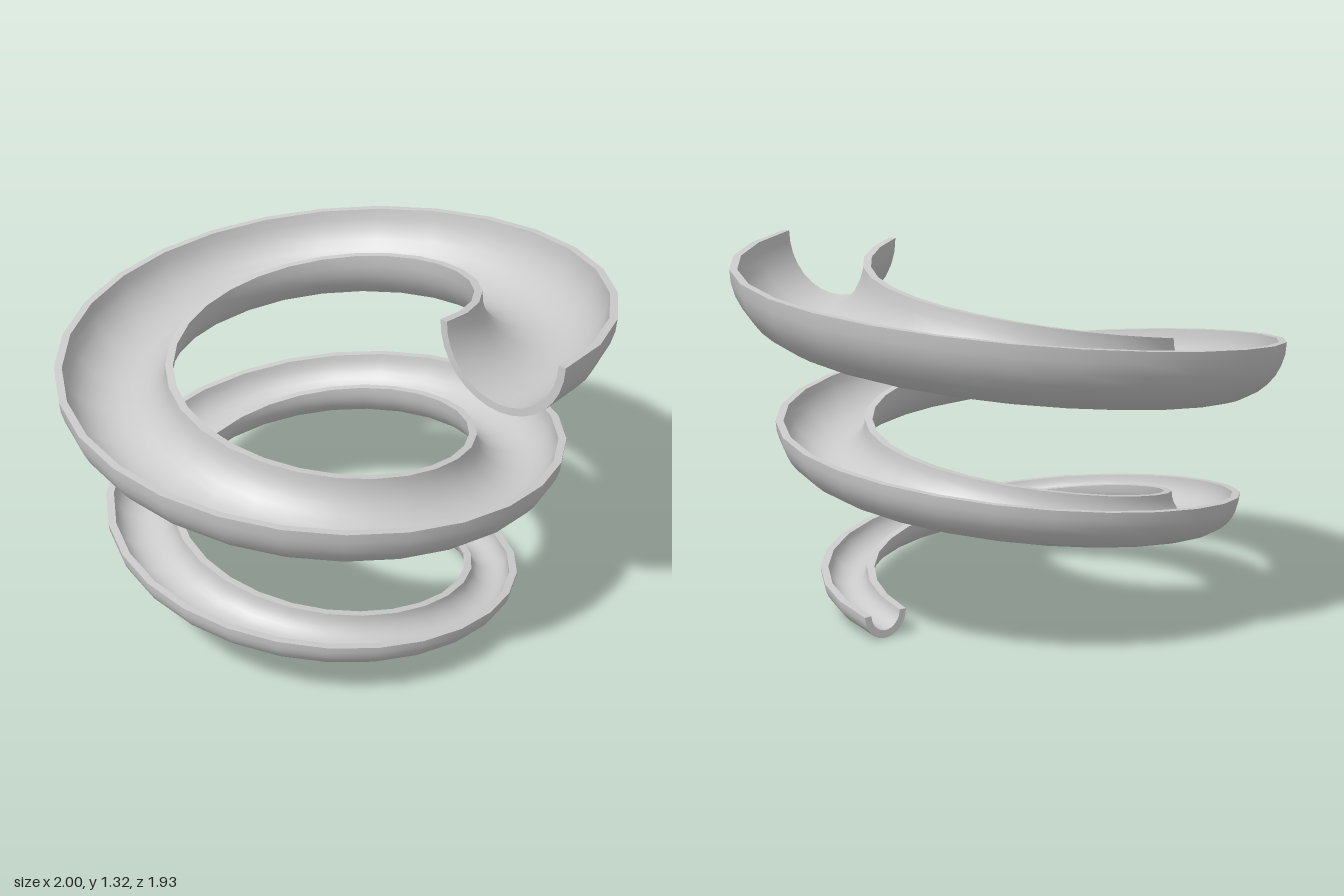
import * as THREE from 'three';

const TURNS = 2.2, STEPS = 60, SIDES = 16;
const CENTRE_X = -0.0425, CENTRE_Z = 0.0325;
const INNER_RADIUS = 0.5275, WALL = 0.028;
const START_R = 0.09, END_R = 0.2565, END_Y = 1.322;

// Point on the trough: t runs along the spiral, s round the half pipe from
// outer rim (0) to inner rim (1), inset moves it in through the wall.
function troughPoint(t, s, inset) {
  const angle = (t - 1) * TURNS * Math.PI * 2;
  const r = THREE.MathUtils.lerp(START_R, END_R, t);
  const rim = THREE.MathUtils.lerp(START_R, END_Y, t);
  const radius = INNER_RADIUS + r + (r - inset) * Math.cos(s * Math.PI);
  return [
    CENTRE_X + radius * Math.cos(angle),
    rim - (r - inset) * Math.sin(s * Math.PI),
    CENTRE_Z + radius * Math.sin(angle),
  ];
}

// Grid surface with smooth normals; front side faces (di x dj)
function grid(name, rows, cols, point, material) {
  const positions = [], index = [];
  for (let i = 0; i <= rows; i++)
    for (let j = 0; j <= cols; j++) positions.push(...point(i / rows, j / cols));
  for (let i = 0; i < rows; i++)
    for (let j = 0; j < cols; j++) {
      const a = i * (cols + 1) + j, b = a + cols + 1;
      index.push(a, b, a + 1, b, b + 1, a + 1);
    }
  const geometry = new THREE.BufferGeometry();
  geometry.setAttribute('position', new THREE.Float32BufferAttribute(positions, 3));
  geometry.setIndex(index);
  geometry.computeVertexNormals();
  const mesh = new THREE.Mesh(geometry, material);
  mesh.name = name;
  return mesh;
}

export function createModel() {
  const material = new THREE.MeshStandardMaterial({ color: 0xcccccc });
  const group = new THREE.Group();
  group.name = 'spiralSlide';
  group.add(
    // Half-pipe shell, outside and inside
    grid('outerShell', STEPS, SIDES, (t, s) => troughPoint(t, s, 0), material),
    grid('slideBed', STEPS, SIDES, (t, s) => troughPoint(t, 1 - s, WALL), material),
    // Flat tops of the two walls
    grid('innerRim', STEPS, 1, (t, k) => troughPoint(t, 1, k * WALL), material),
    grid('outerRim', STEPS, 1, (t, k) => troughPoint(t, 0, (1 - k) * WALL), material),
    // Cut faces at the bottom and top ends
    grid('bottomEnd', SIDES, 1, (s, k) => troughPoint(0, s, k * WALL), material),
    grid('topEnd', SIDES, 1, (s, k) => troughPoint(1, s, (1 - k) * WALL), material),
  );
  return group;
}
